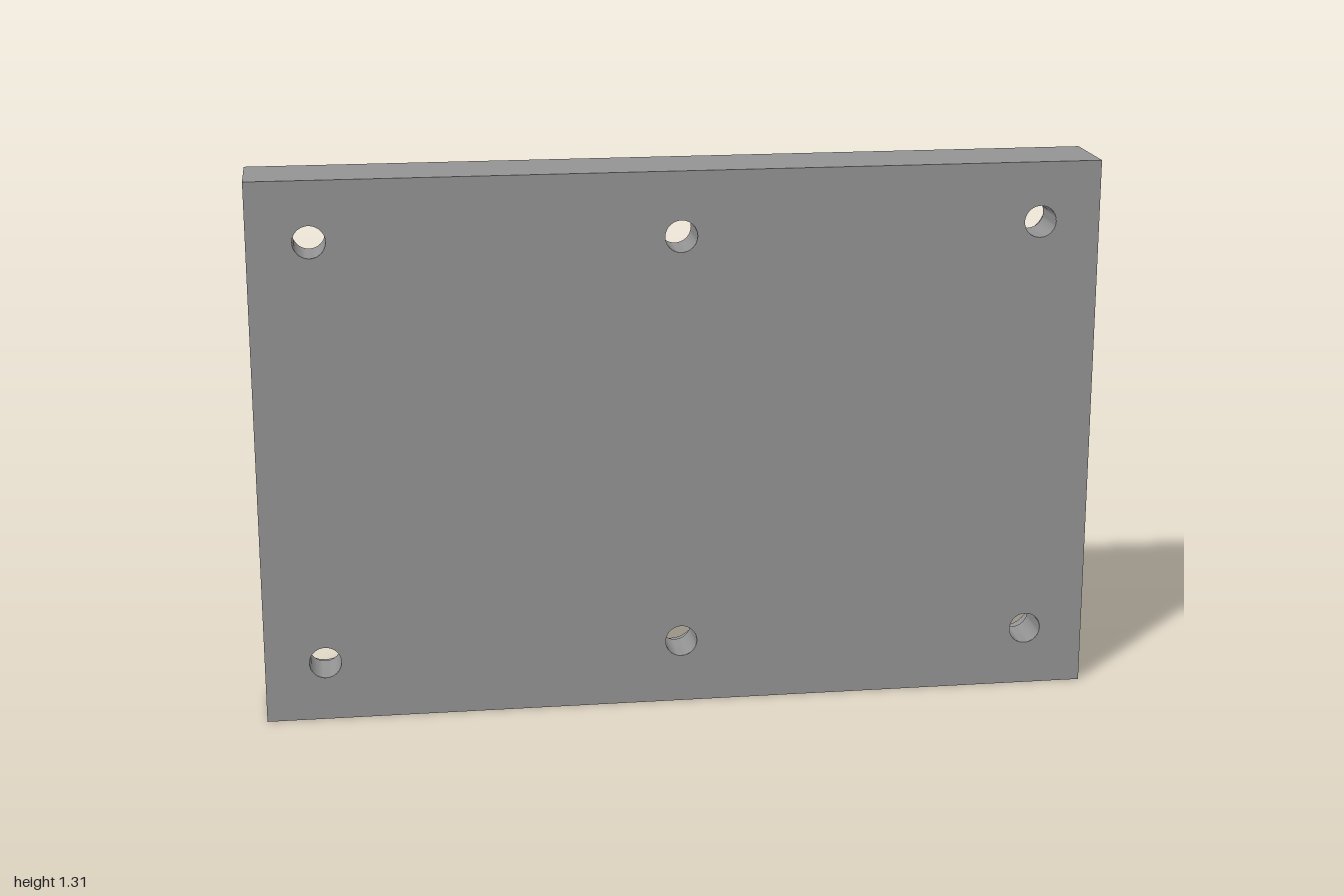
import * as THREE from 'three';
import { mergeGeometries, toCreasedNormals } from 'three/addons/utils/BufferGeometryUtils.js';

const W = 2, H = 1.308, T = 0.193;         // plate size
const R_HOLE = 0.038, R_BORE = 0.065;      // through hole and counterbore radii
const BORE_DEPTH = 0.08, SEGMENTS = 32;

// Hole centres relative to the plate centre
const HOLES = [];
for (const sy of [-1, 1]) {
  for (const sx of [-1, 0, 1]) HOLES.push([sx * 0.857, sy * (sx === 0 ? 0.5 : 0.511)]);
}

// Flat plate face with round openings
function faceGeometry(radius) {
  const shape = new THREE.Shape([
    new THREE.Vector2(-W / 2, -H / 2), new THREE.Vector2(W / 2, -H / 2),
    new THREE.Vector2(W / 2, H / 2), new THREE.Vector2(-W / 2, H / 2),
  ]);
  for (const [x, y] of HOLES) {
    shape.holes.push(new THREE.Path().absarc(x, y, radius, 0, Math.PI * 2, true));
  }
  return new THREE.ShapeGeometry(shape, SEGMENTS).translate(0, 0, T / 2);
}

export function createModel() {
  const group = new THREE.Group();
  group.name = 'mountingPlate';
  const material = new THREE.MeshStandardMaterial({ color: 0x939393 });

  // Plate: front with small openings, back with wide ones, four edges
  const faces = [faceGeometry(R_HOLE), faceGeometry(R_BORE).rotateY(Math.PI)];
  for (let i = 0; i < 4; i++) {
    const [length, offset] = i % 2 ? [H, W / 2] : [W, H / 2];
    faces.push(new THREE.PlaneGeometry(length, T)
      .rotateX(-Math.PI / 2).translate(0, offset, 0).rotateZ(i * Math.PI / 2));
  }
  const plate = new THREE.Mesh(mergeGeometries(faces), material);
  plate.name = 'plate';
  plate.position.y = H / 2;
  group.add(plate);

  // Inner walls of the stepped screw holes, running from front to back
  const step = -T / 2 + BORE_DEPTH;
  const profile = [[R_HOLE, T / 2], [R_HOLE, step], [R_BORE, step], [R_BORE, -T / 2]]
    .map(([r, z]) => new THREE.Vector2(r, z));
  const wall = toCreasedNormals(
    new THREE.LatheGeometry(profile, SEGMENTS).rotateX(Math.PI / 2), Math.PI / 5);
  HOLES.forEach(([x, y], i) => {
    const hole = new THREE.Mesh(wall, material);
    hole.name = `screwHole${i + 1}`;
    hole.position.set(x, y + H / 2, 0);
    group.add(hole);
  });

  return group;
}
